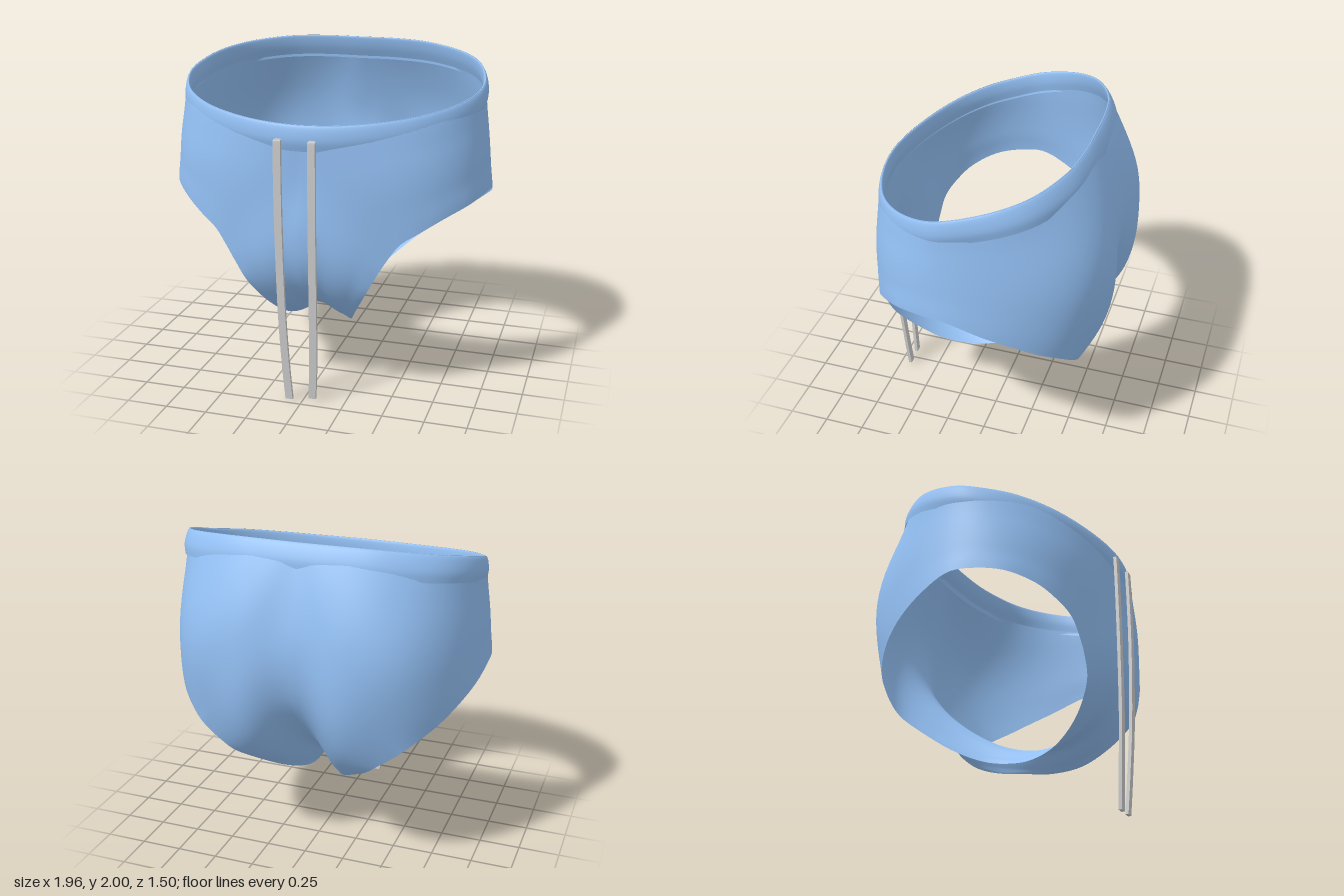
import * as THREE from 'three';
import { mergeVertices } from 'three/addons/utils/BufferGeometryUtils.js';

// Stations around the leg opening: outer point, leg hem point, outward bulge.
// Along the waist, front centre to back centre:
const WAIST = [
  [0, 1.69, 0.715, 0.56, 1.015, 0.62, 0.03],
  [0.3, 1.70, 0.67, 0.66, 1.08, 0.58, 0.03],
  [0.58, 1.73, 0.555, 0.78, 1.15, 0.5, 0.035],
  [0.775, 1.77, 0.395, 0.9, 1.205, 0.36, 0.03],
  [0.885, 1.81, 0.21, 0.965, 1.23, 0.18, 0.015],
  [0.915, 1.86, 0.03, 0.98, 1.225, 0.03, 0.005],
  [0.85, 1.92, -0.2, 0.95, 1.15, -0.15, 0.015],
  [0.71, 1.96, -0.37, 0.89, 1.07, -0.31, 0.06],
  [0.48, 1.99, -0.485, 0.81, 0.985, -0.44, 0.135],
  [0.25, 2.0, -0.525, 0.72, 0.91, -0.53, 0.18],
  [0, 2.0, -0.53, 0.64, 0.845, -0.58, 0.18],
];
// Along the centre seam, back waist to front waist:
const SEAM = [
  [0, 1.7, -0.645, 0.57, 0.79, -0.595, 0.13],
  [0, 1.4, -0.71, 0.5, 0.74, -0.6, 0.09],
  [0, 1.12, -0.67, 0.43, 0.68, -0.58, 0.075],
  [0, 0.9, -0.54, 0.35, 0.62, -0.52, 0.065],
  [0, 0.72, -0.36, 0.2, 0.5, -0.35, 0.04],
  [0, 0.57, -0.14, 0.12, 0.42, -0.17, 0.015],
  [0, 0.495, 0.05, 0.1, 0.385, 0, 0.012],
  [0, 0.475, 0.22, 0.14, 0.37, 0.17, 0.015],
  [0, 0.52, 0.4, 0.2, 0.41, 0.35, 0.015],
  [0, 0.63, 0.57, 0.27, 0.53, 0.51, 0.015],
  [0, 0.82, 0.69, 0.36, 0.69, 0.62, 0.018],
  [0, 1.05, 0.725, 0.43, 0.82, 0.64, 0.018],
  [0, 1.35, 0.705, 0.49, 0.92, 0.635, 0.02],
];

const V = (x, y, z) => new THREE.Vector3(x, y, z);
const spline = (points, closed) => new THREE.CatmullRomCurve3(points, closed, 'catmullrom', 0.5);
const outer = (s) => V(s[0], s[1], s[2]);
const { lerp, smoothstep } = THREE.MathUtils;

const stations = [...WAIST, ...SEAM];
const waistHalf = WAIST.map(outer);
const waistCurve = spline(
  [...waistHalf, ...waistHalf.slice(1, -1).reverse().map((p) => V(-p.x, p.y, p.z))], true);
const seamCurve = spline([outer(WAIST[10]), ...SEAM.map(outer), outer(WAIST[0])], false);
const hemCurve = spline(stations.map((s) => V(s[3], s[4], s[5])), true);
const bulgeCurve = spline(stations.map((s) => V(s[6], 0, 0)), true);

// Builds a grid surface from point(i, j), optionally with reversed faces
function addGrid(pos, idx, rows, cols, point, flip) {
  const base = pos.length / 3;
  for (let i = 0; i <= rows; i++) {
    for (let j = 0; j <= cols; j++) pos.push(...point(i, j).toArray());
  }
  for (let i = 0; i < rows; i++) {
    for (let j = 0; j < cols; j++) {
      const a = base + i * (cols + 1) + j, b = a + 1, c = a + cols + 1, d = c + 1;
      if (flip) idx.push(a, c, b, b, c, d);
      else idx.push(a, b, c, b, d, c);
    }
  }
}

function smoothGeometry(pos, idx) {
  let g = new THREE.BufferGeometry();
  g.setAttribute('position', new THREE.Float32BufferAttribute(pos, 3));
  g.setIndex(idx);
  g = mergeVertices(g, 1e-4);
  g.computeVertexNormals();
  return g;
}

// Point of the left half: i runs round the leg opening, t from waist or seam to hem
function clothPoint(k, t) {
  const u = k / stations.length;
  const o = k <= 10 ? waistCurve.getPoint(k / 20) : seamCurve.getPoint((k - 10) / 14);
  if (k >= 10 || k === 0) o.x = 0;
  const e = hemCurve.getPoint(u);
  const mid = o.clone().lerp(e, 0.5);
  const dir = V(mid.x * 0.4, Math.min(0, mid.y - 1.1), mid.z).normalize();
  // next to the seam the cloth starts level, so the halves join smoothly
  const round = smoothstep(k, 9, 12.5) * (1 - smoothstep(k, 21.5, 24));
  const s = lerp(t, t * t * (2 - t), round);
  const p = V(lerp(o.x, e.x, t), lerp(o.y, e.y, s), lerp(o.z, e.z, s));
  p.addScaledVector(dir, bulgeCurve.getPoint(u).x * Math.sin(Math.PI * s));
  p.x = Math.max(0, p.x);
  return p;
}

// Cloth body: one half, relaxed round the leg opening, then mirrored
function bodyGeometry() {
  const sub = 5, rows = stations.length * sub, cols = 20;
  const columns = [];
  for (let j = 0; j <= cols; j++) {
    const t = j / cols;
    let ring = Array.from({ length: rows }, (_, i) => clothPoint(i / sub, t));
    const amount = 0.5 * smoothstep(t, 0, 0.35) * (1 - smoothstep(t, 0.75, 1));
    for (let pass = 0; pass < 14; pass++) {
      ring = ring.map((p, i) => ring[(i + 1) % rows].clone()
        .add(ring[(i + rows - 1) % rows]).multiplyScalar(0.5).lerp(p, 1 - amount));
    }
    columns.push(ring);
  }
  const pos = [], idx = [];
  for (const side of [1, -1]) {
    addGrid(pos, idx, rows, cols, (i, j) => {
      const p = columns[j][i % rows];
      return V(p.x * side, p.y, p.z);
    }, side < 0);
  }
  return smoothGeometry(pos, idx);
}

// Folded waistband: profile of (outward, down) swept round the waist
function bandGeometry() {
  const profile = spline([V(-0.018, -0.13, 0), V(-0.022, -0.07, 0), V(-0.014, -0.015, 0),
    V(-0.004, 0, 0), V(0.006, -0.015, 0), V(0.012, -0.055, 0), V(0.01, -0.1, 0), V(-0.006, -0.15, 0)], false);
  const rows = 120, cols = 21, pos = [], idx = [];
  addGrid(pos, idx, rows, cols, (i, j) => {
    const u = (i % rows) / rows;
    const p = waistCurve.getPoint(u), tan = waistCurve.getTangent(u);
    const n = V(-tan.z, 0, tan.x).normalize();
    const q = profile.getPoint(j / cols);
    // the cloth leans outward toward the back
    const lean = 0.05 + 0.36 * smoothstep(-p.z, -0.1, 0.53);
    p.addScaledVector(n, q.x - q.y * lean);
    p.y += q.y;
    return p;
  }, false);
  return smoothGeometry(pos, idx);
}

// Flat cord hanging from the waistband, bent along a path
function cordGeometry(path) {
  const g = new THREE.BoxGeometry(0.045, 1, 0.02, 1, 30, 1);
  const p = g.attributes.position;
  for (let i = 0; i < p.count; i++) {
    const c = path.getPoint(0.5 - p.getY(i));
    const taper = p.getY(i) > 0.49 ? 0.6 : 1;
    p.setXYZ(i, c.x + p.getX(i) * taper, c.y, c.z + p.getZ(i));
  }
  g.computeVertexNormals();
  return g;
}

export function createModel() {
  const group = new THREE.Group();
  const cloth = new THREE.MeshStandardMaterial({ color: 0x93c0f4, side: THREE.DoubleSide });
  const cord = new THREE.MeshStandardMaterial({ color: 0xcccccc });
  const add = (name, geometry, material) => {
    const m = new THREE.Mesh(geometry, material);
    m.name = name;
    group.add(m);
  };

  add('briefsBody', bodyGeometry(), cloth);
  add('waistband', bandGeometry(), cloth);

  // Drawstring ends
  add('drawstringRight', cordGeometry(spline([V(-0.12, 1.61, 0.738), V(-0.121, 1.55, 0.744),
    V(-0.12, 1.1, 0.743), V(-0.112, 0.6, 0.732), V(-0.1, 0.25, 0.712), V(-0.085, 0, 0.695)], false)), cord);
  add('drawstringLeft', cordGeometry(spline([V(0.08, 1.61, 0.738), V(0.08, 1.55, 0.744),
    V(0.079, 1.1, 0.743), V(0.076, 0.6, 0.725), V(0.068, 0.25, 0.7), V(0.055, 0.015, 0.682)], false)), cord);
  return group;
}
